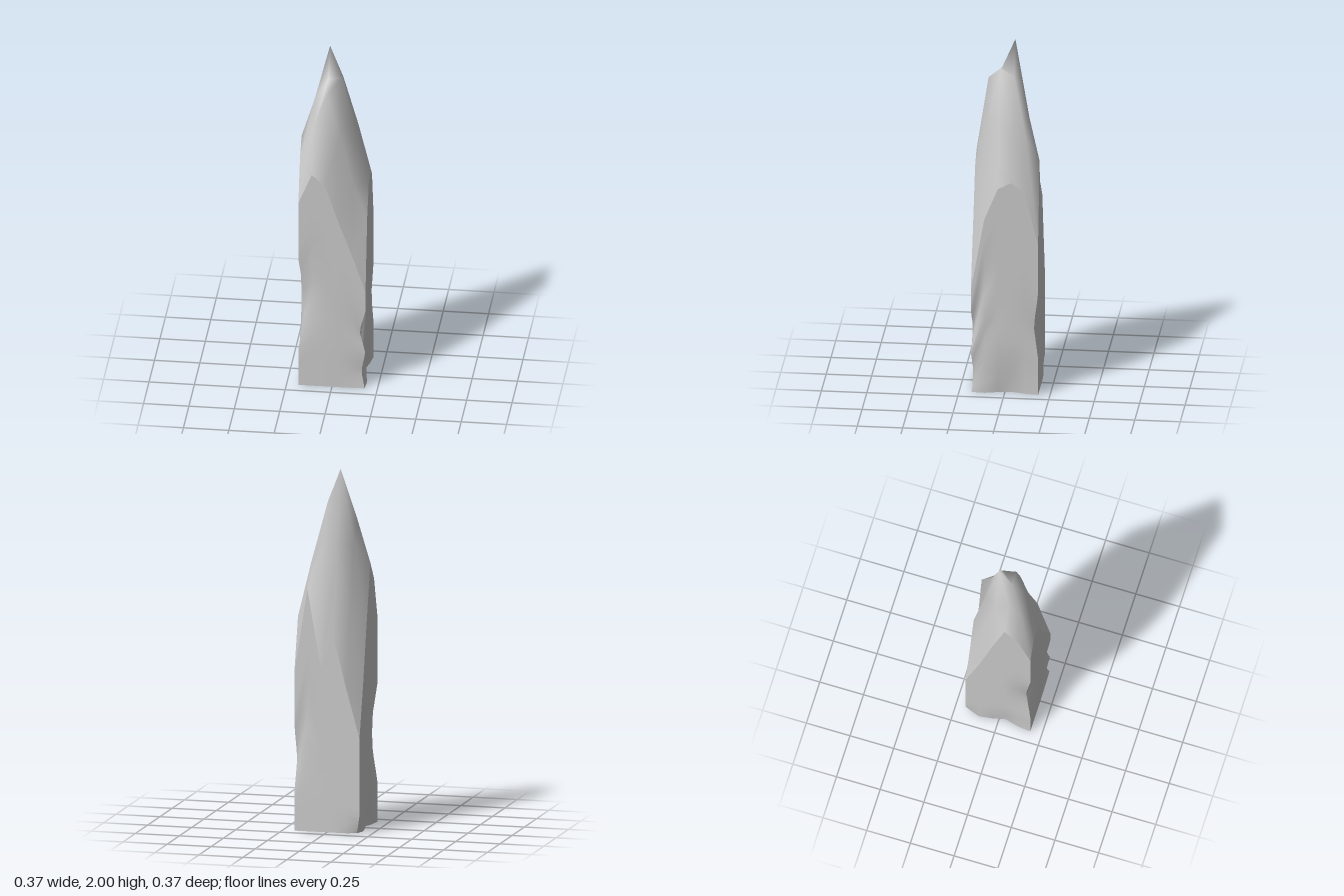
import * as THREE from 'three';

const HALF = 0.185, N = 5;
const at = (i) => -HALF + (2 * HALF * i) / N;

// Crown heights: rows run back to front, columns run from -x to +x
const HEIGHTS = [
  [0.53, 0.80, 1.09, 0.92, 1.35, 0.88],
  [0.82, 1.22, 1.56, 1.62, 1.48, 1.18],
  [1.16, 1.60, 2.00, 1.81, 1.48, 1.24],
  [1.47, 1.71, 1.83, 1.85, 1.58, 1.20],
  [1.37, 1.57, 1.77, 1.52, 1.22, 1.02],
  [1.13, 1.31, 1.24, 1.02, 0.82, 0.60],
];

// Chips in the column: x, y, z, radius, half height, push in x, push in z
const CHIPS = [
  [-HALF, 0.50, HALF, 0.10, 0.28, 0.035, -0.035],
  [HALF, 0.35, HALF, 0.10, 0.13, -0.035, -0.012],
  [HALF, 0.10, HALF, 0.10, 0.13, -0.025, -0.015],
  [HALF, 0.40, -HALF, 0.09, 0.19, -0.01, 0.025],
  [HALF, 0.00, -0.02, 0.13, 0.25, -0.035, 0],
  [-HALF, 0.00, 0.03, 0.11, 0.20, 0.03, 0],
  [-HALF, 0.00, -HALF, 0.08, 0.10, 0.02, 0.02],
];

function chipped(x, y, z) {
  let dx = 0, dz = 0;
  for (const [cx, cy, cz, r, h, px, pz] of CHIPS) {
    const w = Math.max(0, 1 - Math.abs(y - cy) / h) *
      Math.max(0, 1 - Math.hypot(x - cx, z - cz) / r);
    dx += w * px;
    dz += w * pz;
  }
  return [x + dx, y, z + dz];
}

function makeMesh(name, points, faces) {
  const geometry = new THREE.BufferGeometry();
  geometry.setAttribute('position', new THREE.Float32BufferAttribute(points.flat(), 3));
  geometry.setIndex(faces);
  geometry.computeVertexNormals();
  const mesh = new THREE.Mesh(geometry, new THREE.MeshStandardMaterial({ color: 0xcccccc, roughness: 0.9 }));
  mesh.name = name;
  return mesh;
}

// Jagged pointed top
function crown() {
  const points = [], faces = [], w = N + 1;
  HEIGHTS.forEach((row, j) => row.forEach((h, i) => points.push([at(i), h, at(j)])));
  for (let j = 0; j < N; j++) for (let i = 0; i < N; i++) {
    const a = j * w + i, b = a + 1, c = a + w, d = c + 1;
    faces.push(a, c, b, b, c, d);
  }
  return makeMesh('crown', points, faces);
}

// Grid cell (column, row) of the k-th point along each side, left to right from outside
const SIDES = {
  frontWall: (k) => [k, N],
  rightSideWall: (k) => [N, N - k],
  backWall: (k) => [N - k, 0],
  leftSideWall: (k) => [0, k],
};

// One upright wall, reaching from the ground to the crown's rim
function wall(name, cell) {
  const points = [], faces = [], rows = 16, w = N + 1;
  for (let r = 0; r <= rows; r++) for (let k = 0; k <= N; k++) {
    const [i, j] = cell(k);
    const y = (HEIGHTS[j][i] * r) / rows;
    points.push(r === rows ? [at(i), y, at(j)] : chipped(at(i), y, at(j)));
  }
  for (let r = 0; r < rows; r++) for (let k = 0; k < N; k++) {
    const a = r * w + k, b = a + 1, c = a + w, d = c + 1;
    faces.push(a, b, d, a, d, c);
  }
  return makeMesh(name, points, faces);
}

// Flat underside
function base() {
  const points = [[0, 0, 0]], faces = [];
  for (const cell of Object.values(SIDES)) for (let k = 0; k < N; k++) {
    const [i, j] = cell(k);
    points.push(chipped(at(i), 0, at(j)));
  }
  const n = points.length - 1;
  for (let k = 0; k < n; k++) faces.push(0, 1 + ((k + 1) % n), 1 + k);
  return makeMesh('base', points, faces);
}

export function createModel() {
  const group = new THREE.Group();
  group.name = 'rockSpire';
  group.add(crown(), base());
  for (const [name, cell] of Object.entries(SIDES)) {
    // The model's own left is +x
    const own = name === 'rightSideWall' ? 'leftWall' : name === 'leftSideWall' ? 'rightWall' : name;
    group.add(wall(own, cell));
  }
  return group;
}
